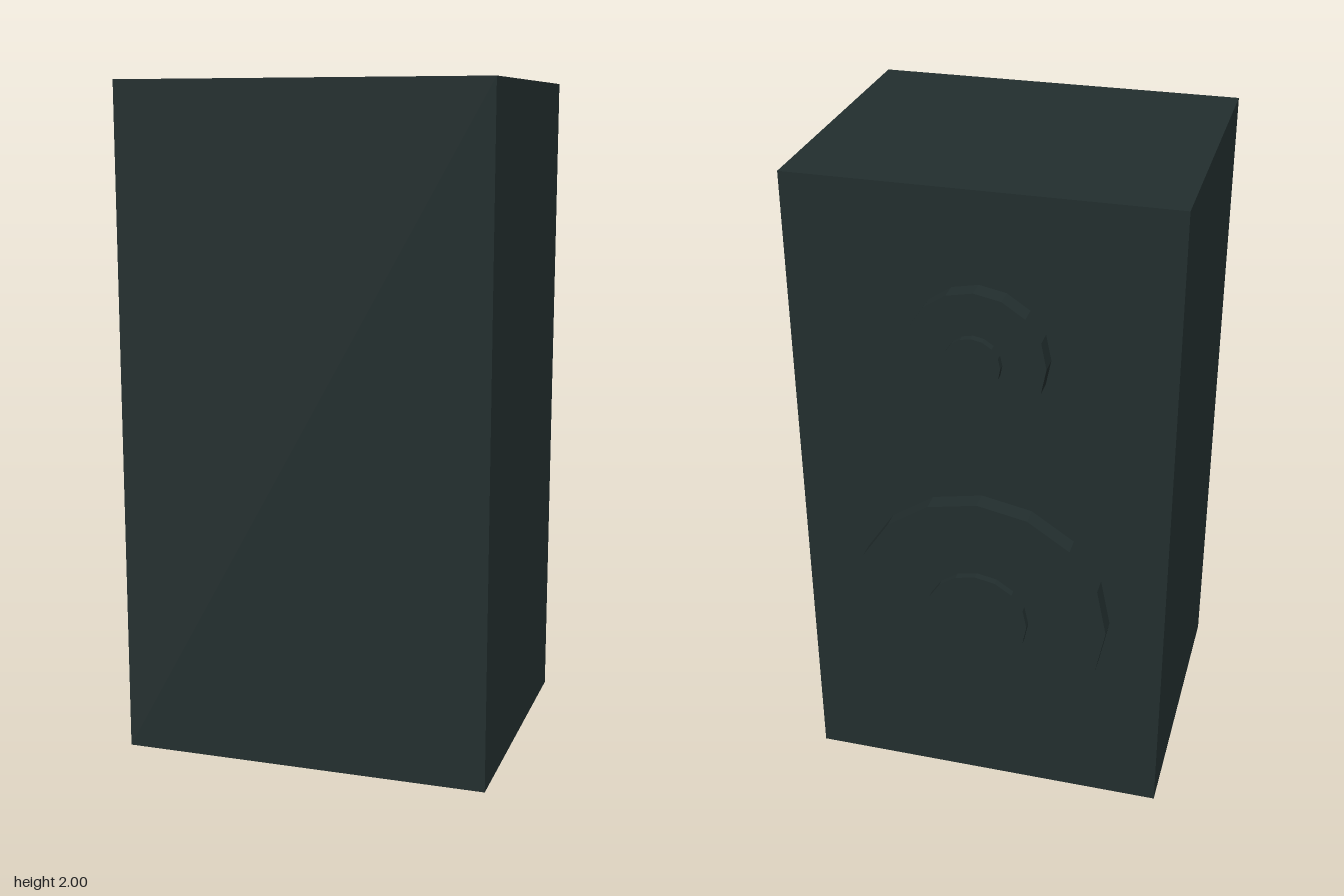
import * as THREE from 'three';

export function createModel() {
  const model = new THREE.Group();
  model.name = 'loudspeaker';

  const charcoal = new THREE.MeshStandardMaterial({ color: 0x222e2e, flatShading: true });
  charcoal.name = 'charcoal';

  // Cabinet
  const cabinet = new THREE.Mesh(new THREE.BoxGeometry(1.11, 2, 0.915), charcoal);
  cabinet.name = 'cabinet';
  cabinet.position.set(0, 1, 0.0425);
  model.add(cabinet);

  // Sixteen-sided disc lying between two depths
  function disc(name, radius, zInner, zOuter) {
    const geometry = new THREE.CylinderGeometry(radius, radius, zInner - zOuter, 16);
    geometry.rotateX(-Math.PI / 2);
    const mesh = new THREE.Mesh(geometry, charcoal);
    mesh.name = name;
    mesh.position.z = (zInner + zOuter) / 2;
    return mesh;
  }

  // Drivers: a wide disc with a small cap floating just off it
  function addDriver(name, y, radius, capRadius) {
    const driver = new THREE.Group();
    driver.name = name;
    driver.position.y = y;
    driver.add(disc(name + 'Cone', radius, -0.415, -0.471));
    driver.add(disc(name + 'Cap', capRadius, -0.478, -0.5));
    model.add(driver);
  }
  addDriver('woofer', 0.67, 0.39, 0.156);
  addDriver('tweeter', 1.53, 0.202, 0.081);

  return model;
}
